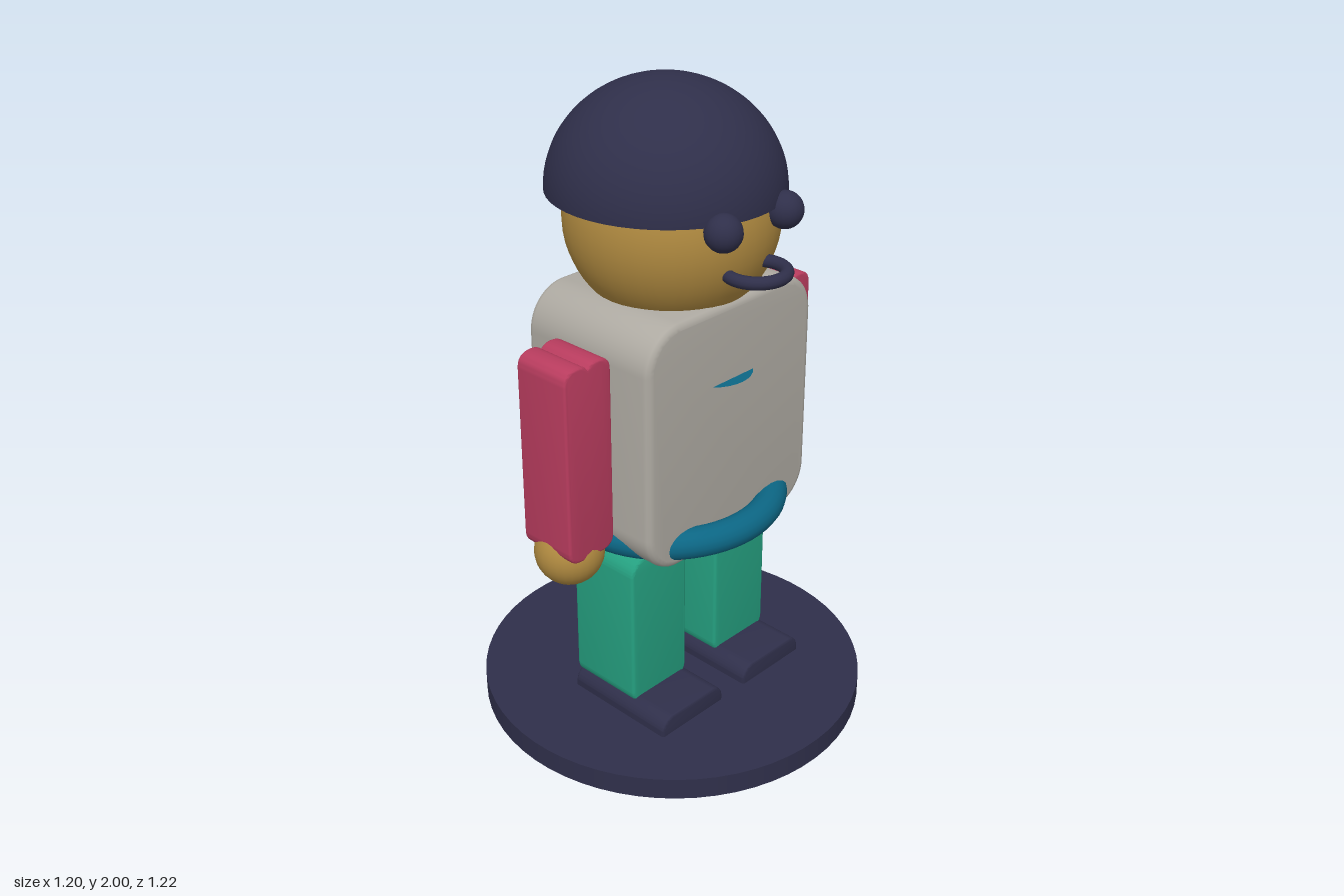
import * as THREE from 'three';
import { toCreasedNormals } from 'three/addons/utils/BufferGeometryUtils.js';

const material = (name, color) => {
  const m = new THREE.MeshStandardMaterial({ color });
  m.name = name;
  return m;
};

// Upright outline with rounded corners, centred on the origin
function roundedRect(w, h, r) {
  const x = w / 2, y = h / 2, s = new THREE.Shape();
  s.moveTo(x, y - r);
  s.absarc(x - r, y - r, r, 0, Math.PI / 2);
  s.absarc(-x + r, y - r, r, Math.PI / 2, Math.PI);
  s.absarc(-x + r, -y + r, r, Math.PI, Math.PI * 1.5);
  s.absarc(x - r, -y + r, r, Math.PI * 1.5, Math.PI * 2);
  return s;
}

// Arm outline: two small bumps with a notch between them at each end
function armShape(w, h) {
  const x = w / 2, y = h / 2, s = new THREE.Shape();
  s.moveTo(x, -y + 0.045);
  s.lineTo(x, y - 0.045);
  s.quadraticCurveTo(x, y, x - 0.05, y);
  s.quadraticCurveTo(0.012, y, 0, y - 0.016);
  s.quadraticCurveTo(-0.012, y, -x + 0.05, y);
  s.quadraticCurveTo(-x, y, -x, y - 0.045);
  s.lineTo(-x, -y + 0.045);
  s.quadraticCurveTo(-x, -y, -x + 0.05, -y);
  s.quadraticCurveTo(-0.012, -y, 0, -y + 0.016);
  s.quadraticCurveTo(0.012, -y, x - 0.05, -y);
  s.quadraticCurveTo(x, -y, x, -y + 0.045);
  return s;
}

// Extrudes an outline along z with softened edges, centred on z = 0
function slab(shape, depth, bevel) {
  const g = new THREE.ExtrudeGeometry(shape, {
    depth: depth - 2 * bevel, bevelEnabled: true, bevelThickness: bevel,
    bevelSize: bevel, bevelOffset: -bevel, bevelSegments: 3, curveSegments: 10,
  });
  g.translate(0, 0, -depth / 2 + bevel);
  return toCreasedNormals(g, 0.65);
}

export function createModel() {
  const model = new THREE.Group();
  model.name = 'toyFigure';
  const navy = material('navy', 0x2f2f4a);
  const skin = material('ochre', 0xb08a40);
  const grey = material('warmGrey', 0xaeaaa2);
  const red = material('crimson', 0xb83c5e);
  const green = material('green', 0x25a080);
  const teal = material('teal', 0x0c6684);
  const shell = material('helmetNavy', 0x2f2f4a);
  shell.side = THREE.DoubleSide;

  const add = (name, geometry, mat, x, y, z) => {
    const mesh = new THREE.Mesh(geometry, mat);
    mesh.name = name;
    mesh.position.set(x, y, z);
    model.add(mesh);
    return mesh;
  };

  // Round stand
  add('base', new THREE.CylinderGeometry(0.61, 0.61, 0.07, 64), navy, 0, 0.035, 0).scale.x = 0.985;

  // Body with a belt ring and a thin chest badge
  add('torso', slab(roundedRect(0.69, 0.775, 0.13), 0.486, 0.022), grey, 0, 1.0225, 0);
  const ring = new THREE.TorusGeometry(0.3, 0.047, 16, 64).rotateX(Math.PI / 2);
  add('belt', ring, teal, 0, 0.698, 0).scale.x = 1.06;
  add('badge', new THREE.CircleGeometry(0.12, 32).rotateX(-Math.PI / 2), teal, 0, 1.17, 0.16);

  // Head, helmet and face
  add('head', new THREE.SphereGeometry(0.313, 40, 28), skin, 0, 1.61, 0);
  const dome = new THREE.SphereGeometry(1, 48, 20, 0, Math.PI * 2, 0, Math.PI / 2);
  add('helmet', dome, shell, 0, 1.68, -0.023).scale.set(0.342, 0.32, 0.349);
  const lip = new THREE.TorusGeometry(0.085, 0.019, 12, 40).rotateX(Math.PI / 2);
  add('mouth', lip, navy, 0, 1.52, 0.32);

  // Paired parts
  const eye = new THREE.SphereGeometry(0.054, 20, 14);
  const arm = slab(armShape(0.175, 0.615), 0.194, 0.008);
  const hand = new THREE.SphereGeometry(0.104, 28, 20);
  const leg = slab(roundedRect(0.234, 0.53, 0.06), 0.252, 0.01);
  const foot = slab(roundedRect(0.268, 0.1, 0.048), 0.386, 0.008);
  for (const [side, s] of [['left', 1], ['right', -1]]) {
    add(side + 'Eye', eye, navy, s * 0.125, 1.663, 0.31);
    add(side + 'Arm', arm, red, s * 0.428, 1.005, 0);
    add(side + 'Hand', hand, skin, s * 0.43, 0.682, 0);
    add(side + 'Leg', leg, green, s * 0.183, 0.358, 0);
    add(side + 'Foot', foot, navy, s * 0.183, 0.08, 0.076);
  }
  return model;
}
